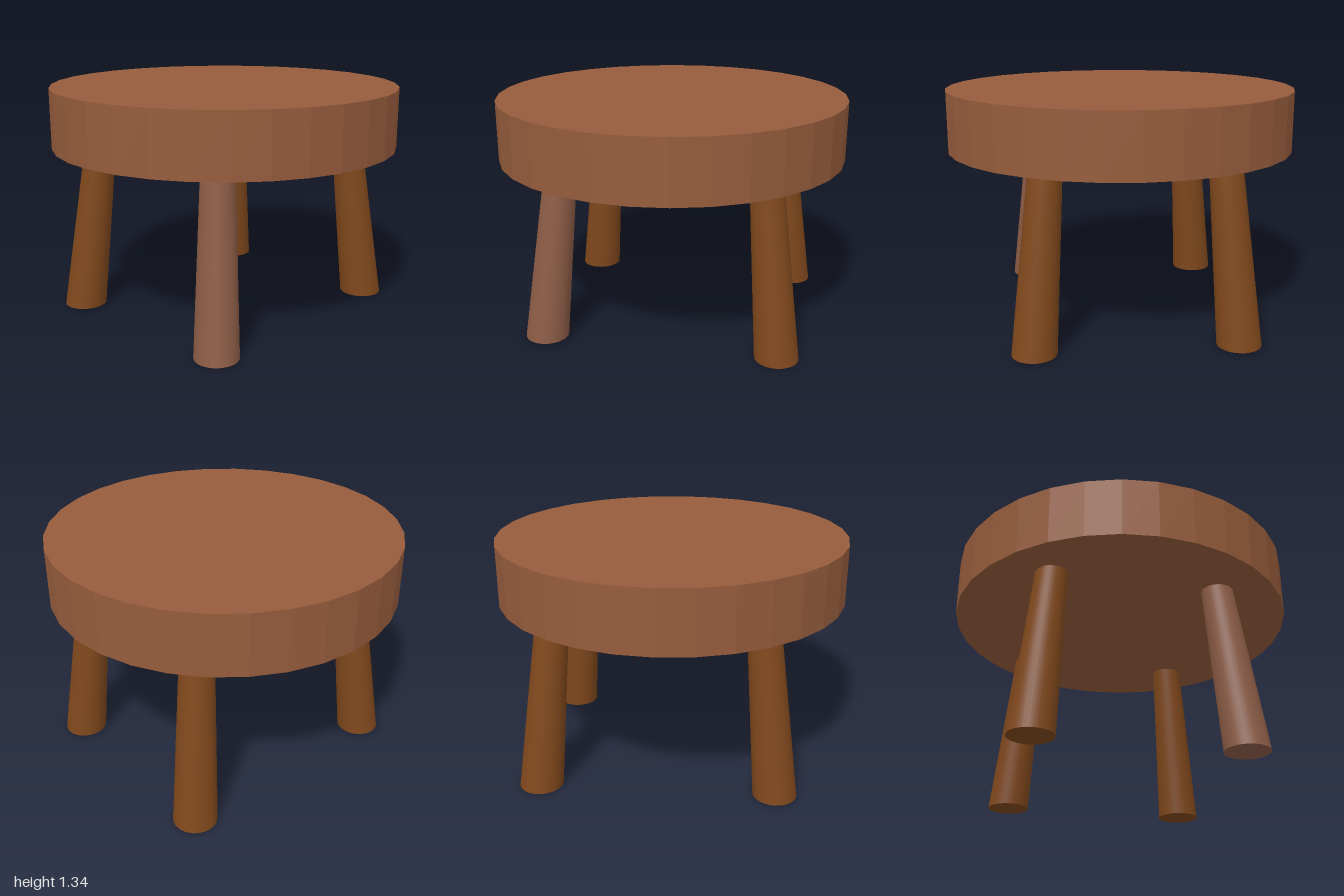
import * as THREE from 'three';

const SEAT_BOTTOM = 0.99, SEAT_TOP = 1.335;

// Tapered leg, sheared so that both ends stay level
function makeLeg(name, color, foot, head) {
  const geo = new THREE.CylinderGeometry(0.091, 0.123, SEAT_BOTTOM, 32);
  geo.applyMatrix4(new THREE.Matrix4().makeTranslation(0, SEAT_BOTTOM / 2, 0));
  const kx = (head[0] - foot[0]) / SEAT_BOTTOM;
  const kz = (head[1] - foot[1]) / SEAT_BOTTOM;
  geo.applyMatrix4(new THREE.Matrix4().set(
    1, kx, 0, foot[0],
    0, 1, 0, 0,
    0, kz, 1, foot[1],
    0, 0, 0, 1));
  const leg = new THREE.Mesh(geo, new THREE.MeshStandardMaterial({ color }));
  leg.name = name;
  return leg;
}

export function createModel() {
  const stool = new THREE.Group();
  stool.name = 'stool';

  // Thick round seat with faceted rim
  const seat = new THREE.Mesh(
    new THREE.CylinderGeometry(1, 1, SEAT_TOP - SEAT_BOTTOM, 32),
    new THREE.MeshStandardMaterial({ color: 0x965c3c, flatShading: true }));
  seat.name = 'seat';
  seat.position.y = (SEAT_TOP + SEAT_BOTTOM) / 2;
  stool.add(seat);

  // Four splayed legs, set slightly off centre; one of a paler wood
  const cx = -0.02, cz = -0.036;
  for (const [name, sx, sz] of [
    ['frontLeftLeg', 1, 1], ['frontRightLeg', -1, 1],
    ['backLeftLeg', 1, -1], ['backRightLeg', -1, -1],
  ]) {
    const color = name === 'frontLeftLeg' ? 0x8c5c46 : 0x80481c;
    stool.add(makeLeg(name, color,
      [cx + sx * 0.556, cz + sz * 0.663],
      [cx + sx * 0.476, cz + sz * 0.566]));
  }
  return stool;
}
